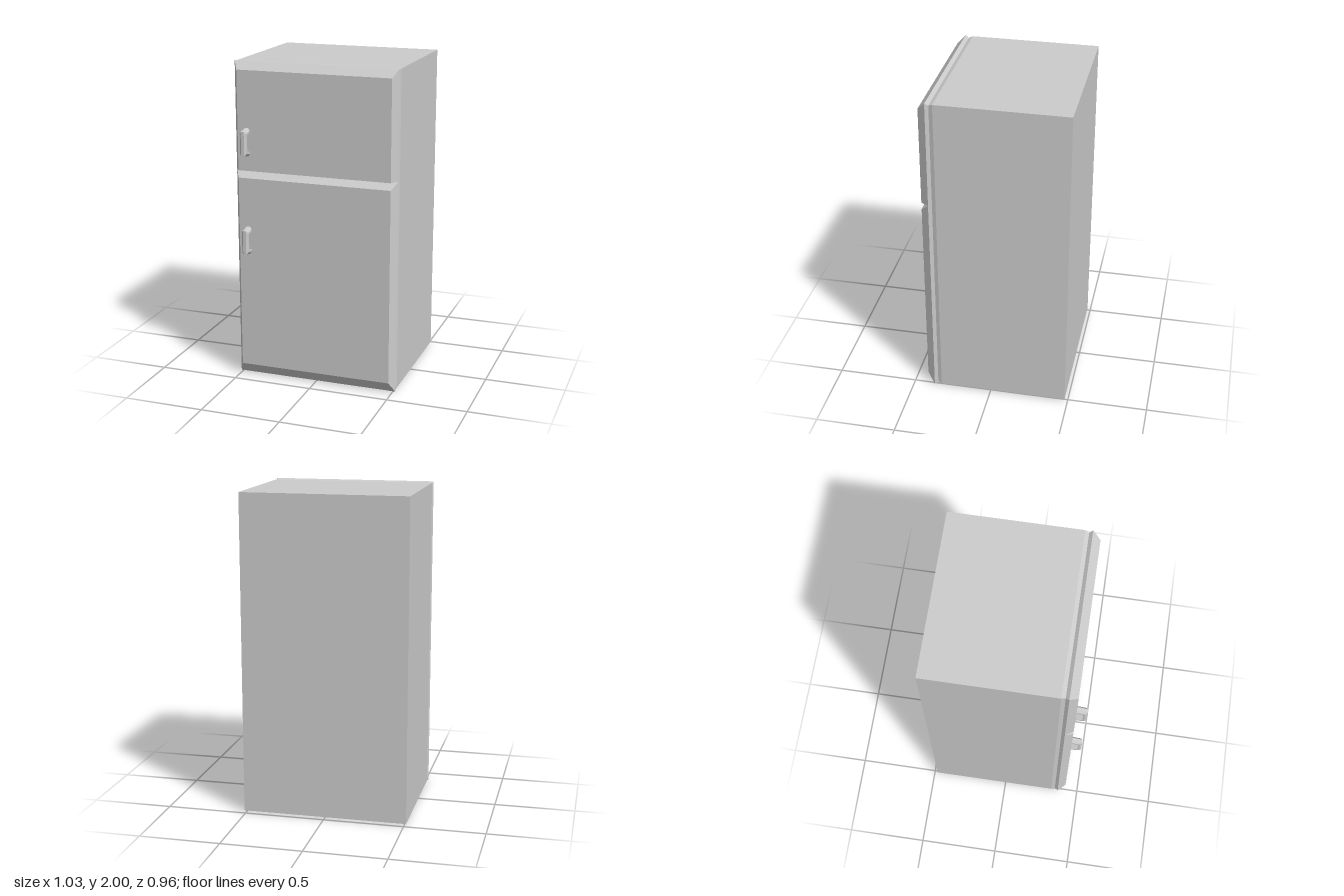
import * as THREE from 'three';

// Flat-shaded skin through closed convex sections, capped at both ends.
function loft(sections) {
  const pos = [];
  const tri = (a, b, c) => pos.push(...a, ...b, ...c);
  const n = sections[0].length;
  for (let s = 0; s < sections.length - 1; s++) {
    const a = sections[s], b = sections[s + 1];
    for (let i = 0; i < n; i++) {
      const j = (i + 1) % n;
      tri(a[i], a[j], b[j]);
      tri(a[i], b[j], b[i]);
    }
  }
  const first = sections[0], last = sections[sections.length - 1];
  for (let i = 1; i < n - 1; i++) {
    tri(first[0], first[i + 1], first[i]);
    tri(last[0], last[i], last[i + 1]);
  }
  const g = new THREE.BufferGeometry();
  g.setAttribute('position', new THREE.Float32BufferAttribute(pos, 3));
  g.computeVertexNormals();
  return g;
}

// Rectangular section at depth z, symmetric in x.
const rect = (z, x, y0, y1) => [[-x, y0, z], [x, y0, z], [x, y1, z], [-x, y1, z]];

// Chamfered handle section between an inner and an outer point [y, z].
function handleSection([yi, zi], [yo, zo]) {
  const outline = [[-0.021, 0], [0.021, 0], [0.021, 0.5], [0.01, 1], [-0.01, 1], [-0.021, 0.5]];
  return outline.map(([x, t]) => [x, yi + (yo - yi) * t, zi + (zo - zi) * t]);
}

export function createModel() {
  const group = new THREE.Group();
  const enamel = new THREE.MeshStandardMaterial({ color: 0xcccccc });
  enamel.name = 'greyEnamel';
  enamel.flatShading = true;

  const add = (name, geometry) => {
    const mesh = new THREE.Mesh(geometry, enamel);
    mesh.name = name;
    group.add(mesh);
    return mesh;
  };

  // Cabinet, tapering slightly into the groove behind the doors
  add('cabinet', loft([
    rect(-0.48, 0.512, 0.01, 1.995),
    rect(0.322, 0.512, 0.01, 1.995),
    rect(0.346, 0.504, 0.018, 1.985),
  ]));

  // Doors: flare out of the groove, then bevel in to the front panel
  add('freezerDoor', loft([
    rect(0.346, 0.504, 1.334, 1.985),
    rect(0.367, 0.515, 1.334, 2),
    rect(0.416, 0.484, 1.334, 1.95),
  ]));
  add('fridgeDoor', loft([
    rect(0.346, 0.504, 0.018, 1.334),
    rect(0.367, 0.515, 0, 1.334),
    rect(0.416, 0.484, 0.07, 1.288),
  ]));

  // Handles: two short arms joined by an upright grip
  const handle = loft([
    handleSection([0.058, 0.412], [0.088, 0.412]),
    handleSection([0.048, 0.457], [0.075, 0.48]),
    handleSection([-0.048, 0.457], [-0.075, 0.48]),
    handleSection([-0.058, 0.412], [-0.088, 0.412]),
  ]);
  add('freezerHandle', handle).position.set(-0.426, 1.513, 0);
  add('fridgeHandle', handle).position.set(-0.426, 0.895, 0);

  return group;
}
